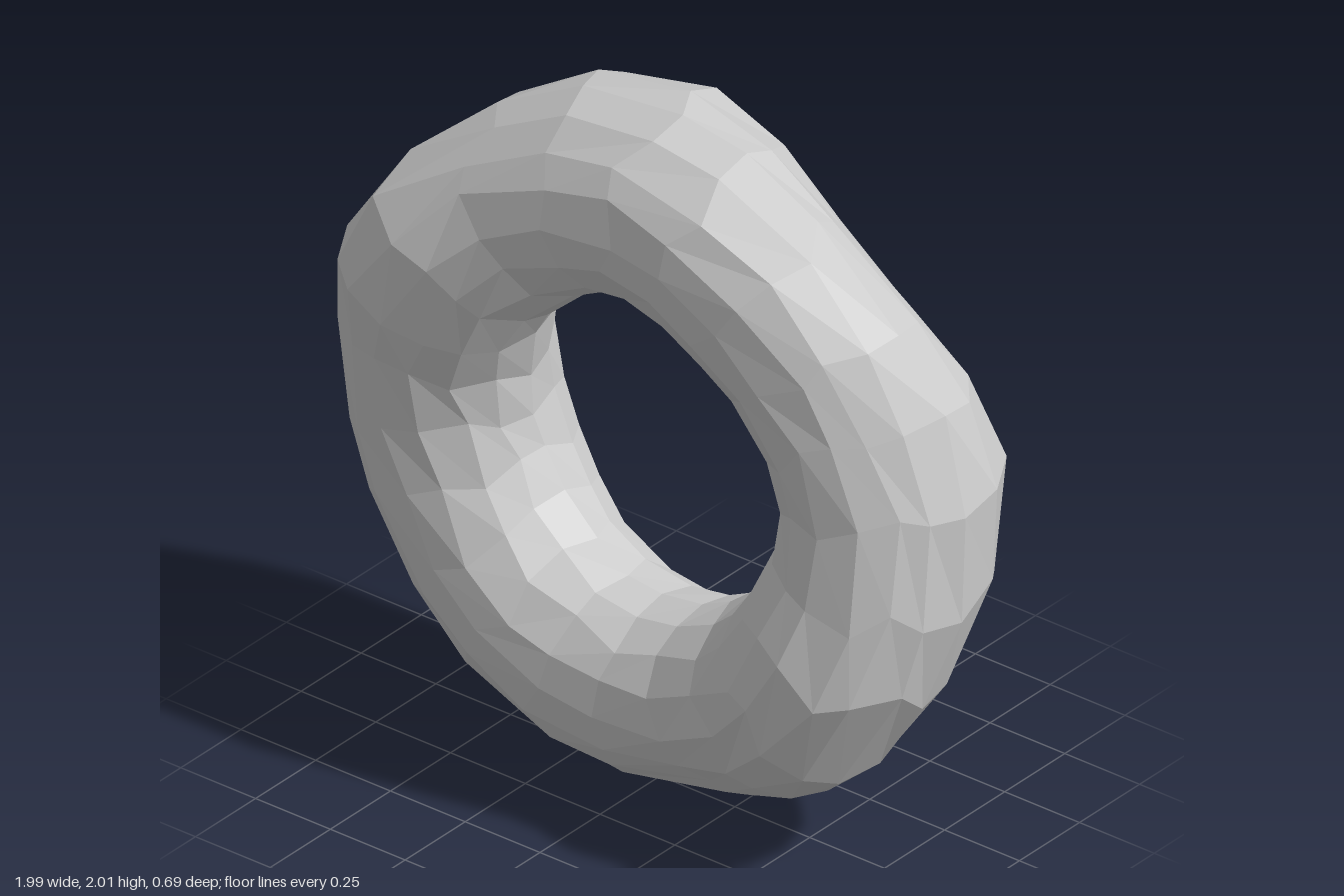
import * as THREE from 'three';

const AROUND = 22, SECTION = 16;
const RING = 0.727, TUBE = 0.277;

// Front and back depth of the ring every 30 degrees, starting at +x and turning towards +y
const DEPTHS = [
  [0.24, -0.32], [0.25, -0.31], [0.28, -0.30], [0.25, -0.325],
  [0.26, -0.29], [0.325, -0.25], [0.26, -0.32], [0.24, -0.34],
  [0.25, -0.29], [0.25, -0.28], [0.285, -0.28], [0.335, -0.28],
];

// Bulges and dents on the outer shoulders: angle, side (1 front, -1 back), height
const SHOULDERS = [
  [10, -1, 0.05], [52, -1, -0.06], [100, -1, 0.05], [215, -1, 0.03], [280, -1, 0.02],
  [25, 1, -0.03], [55, 1, 0.03], [118, 1, -0.03], [146, 1, 0.05], [287, 1, -0.06], [317, 1, 0.03],
];

// Repeatable noise in -1..1 for a grid cell
function noise(i, j, seed) {
  const s = Math.sin(i * 127.1 + j * 311.7 + seed * 74.7) * 43758.5453;
  return 2 * (s - Math.floor(s)) - 1;
}

// Signed difference of two angles, wrapped to -PI..PI
function angleBetween(a, b) {
  return Math.atan2(Math.sin(a - b), Math.cos(a - b));
}

function shoulderPush(u, v) {
  return SHOULDERS.reduce((sum, [degrees, side, height]) => {
    const du = angleBetween(u, THREE.MathUtils.degToRad(degrees)) / 0.32;
    const dv = angleBetween(v, side * Math.PI / 4) / 0.6;
    return sum + height * Math.exp(-du * du - dv * dv);
  }, 0);
}

function warpedRing() {
  const depth = new THREE.CatmullRomCurve3(
    DEPTHS.map(([front, back]) => new THREE.Vector3(front, back, 0)), true, 'catmullrom');
  const geometry = new THREE.TorusGeometry(RING, TUBE, SECTION, AROUND);
  const position = geometry.attributes.position;
  for (let j = 0; j <= SECTION; j++) {
    for (let i = 0; i <= AROUND; i++) {
      // Slide each vertex along the surface for uneven facets; seams share the same noise
      const a = i % AROUND, b = j % SECTION;
      const turn = (a + 0.5 + 0.2 * noise(a, b, 1)) / AROUND;
      const u = turn * Math.PI * 2;
      const v = (b + 0.18 * noise(a, b, 2)) / SECTION * Math.PI * 2;
      const { x: front, y: back } = depth.getPoint(turn);
      const push = shoulderPush(u, v);
      const r = RING + (TUBE + push) * Math.cos(v);
      const z = (front + back) / 2 + ((front - back) / 2 * 1.01 + push) * Math.sin(v);
      position.setXYZ(j * (AROUND + 1) + i, r * Math.cos(u), r * Math.sin(u), z);
    }
  }
  geometry.computeVertexNormals();
  return geometry;
}

export function createModel() {
  const group = new THREE.Group();
  group.name = 'warpedRingModel';
  const material = new THREE.MeshStandardMaterial({ color: 0xcccccc, flatShading: true });

  // Faceted ring that bends forwards and backwards along its length
  const ring = new THREE.Mesh(warpedRing(), material);
  ring.name = 'ring';
  ring.position.y = 1.004;
  group.add(ring);
  return group;
}
